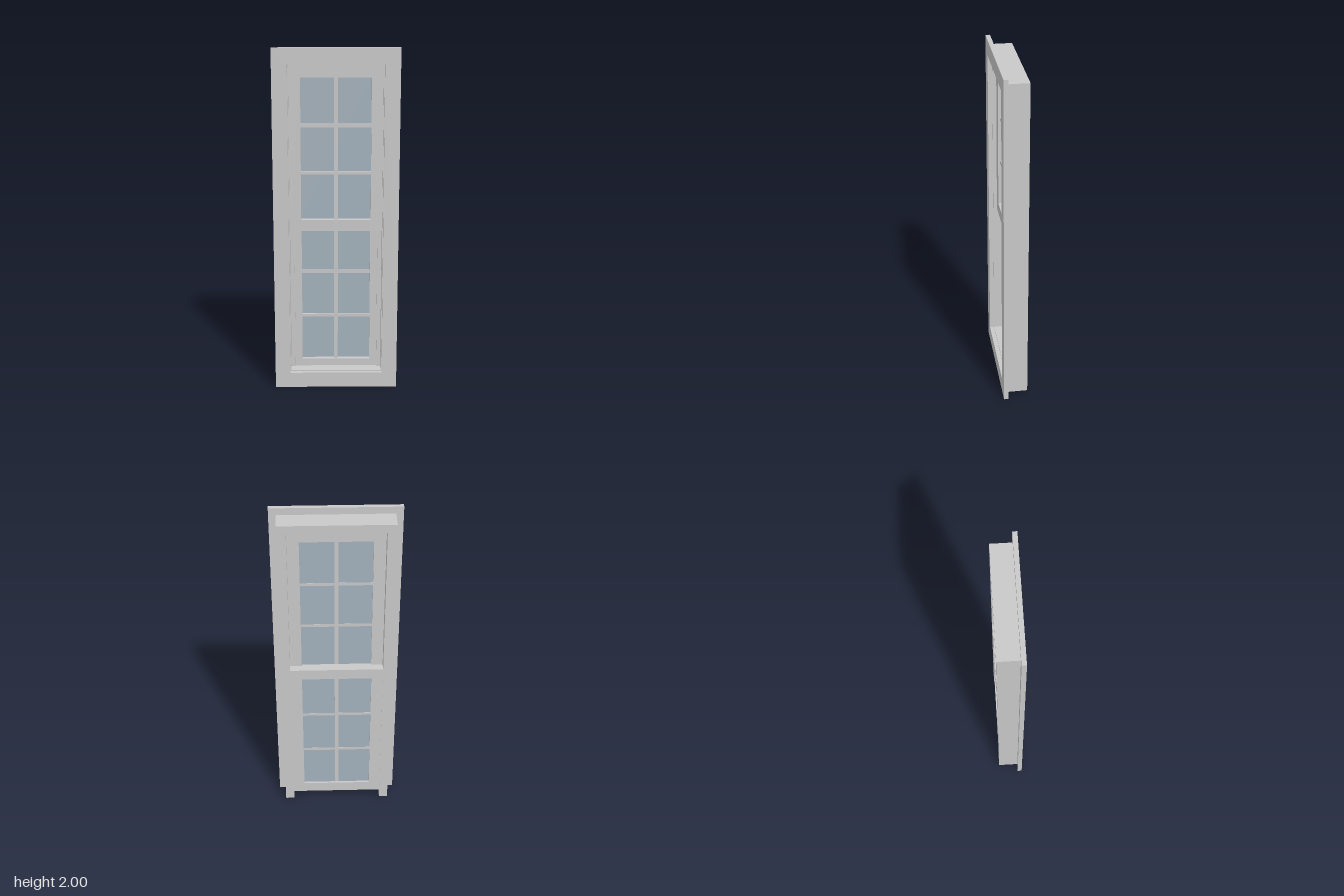
import * as THREE from 'three';

const frameGrey = new THREE.MeshStandardMaterial({ name: 'frame grey', color: 0xc8c8c8 });
const glassBlue = new THREE.MeshStandardMaterial({ name: 'glass blue', color: 0xa4b2bc });

// Box given by its limits on each axis
function block(name, x0, x1, y0, y1, z0, z1, material = frameGrey) {
  const mesh = new THREE.Mesh(new THREE.BoxGeometry(x1 - x0, y1 - y0, z1 - z0), material);
  mesh.position.set((x0 + x1) / 2, (y0 + y1) / 2, (z0 + z1) / 2);
  mesh.name = name;
  return mesh;
}

// Flat board with a corner outline, extruded along z
function board(name, points, z0, z1) {
  const shape = new THREE.Shape(points.map(([x, y]) => new THREE.Vector2(x, y)));
  const geometry = new THREE.ExtrudeGeometry(shape, { depth: z1 - z0, bevelEnabled: false });
  const mesh = new THREE.Mesh(geometry, frameGrey);
  mesh.position.z = z0;
  mesh.name = name;
  return mesh;
}

// Four mitred trim boards around the opening
function makeTrim() {
  const trim = new THREE.Group();
  trim.name = 'trim';
  const w = 0.357, h = 2, ix = 0.27, b = 0.09, t = 1.91;
  const outer = [[-w, 0], [w, 0], [w, h], [-w, h]];
  const inner = [[-ix, b], [ix, b], [ix, t], [-ix, t]];
  ['trimBottom', 'trimLeft', 'trimTop', 'trimRight'].forEach((name, i) => {
    const j = (i + 1) % 4;
    trim.add(board(name, [outer[i], outer[j], inner[j], inner[i]], 0.0465, 0.0725));
  });
  return trim;
}

// Sash with stiles, rails, six panes and glazing bars
function makeSash(name, bottom, top, glassBottom, glassTop, back) {
  const sash = new THREE.Group();
  sash.name = name;
  const w = 0.265, g = 0.199, front = back + 0.045;
  for (const s of [-1, 1]) {
    const [x0, x1] = s > 0 ? [g, w] : [-w, -g];
    sash.add(block('stile', x0, x1, bottom, top, back, front));
  }
  sash.add(block('bottomRail', -g, g, bottom, glassBottom, back, front));
  sash.add(block('topRail', -g, g, glassTop, top, back, front));
  sash.add(block('glass', -g, g, glassBottom, glassTop, back + 0.013, back + 0.019, glassBlue));

  // Glazing bars stand proud of the glass
  const barBack = back + 0.012, barFront = back + 0.036;
  sash.add(block('verticalBar', -0.011, 0.011, glassBottom, glassTop, barBack, barFront));
  for (let i = 1; i < 3; i++) {
    const y = glassBottom + (glassTop - glassBottom) * i / 3;
    for (const [x0, x1] of [[-g, -0.011], [0.011, g]]) {
      sash.add(block('horizontalBar', x0, x1, y - 0.009, y + 0.009, barBack, barFront - 0.002));
    }
  }
  return sash;
}

export function createModel() {
  const model = new THREE.Group();
  model.name = 'sashWindow';
  model.add(makeTrim());

  // Box frame: two jambs, head and sill strip
  const back = -0.0725, front = 0.0465, inner = 0.265, outer = 0.316;
  for (const s of [-1, 1]) {
    const span = (a, b) => (s > 0 ? [a, b] : [-b, -a]);
    model.add(block('jamb', ...span(inner, outer), 0.02, 1.96, back, front));
    model.add(block('partingStop', ...span(0.241, inner), 0.095, 0.95, -0.025, -0.012));
  }
  model.add(block('head', -inner, inner, 1.908, 1.96, back, front));
  model.add(block('sill', -inner, inner, 0.075, 0.096, -0.025, front));

  // Upper sash slides in front of the lower one
  model.add(makeSash('upperSash', 0.95, 1.908, 1.016, 1.832, -0.02));
  model.add(makeSash('lowerSash', 0.075, 1.02, 0.14, 0.956, -0.07));
  return model;
}
